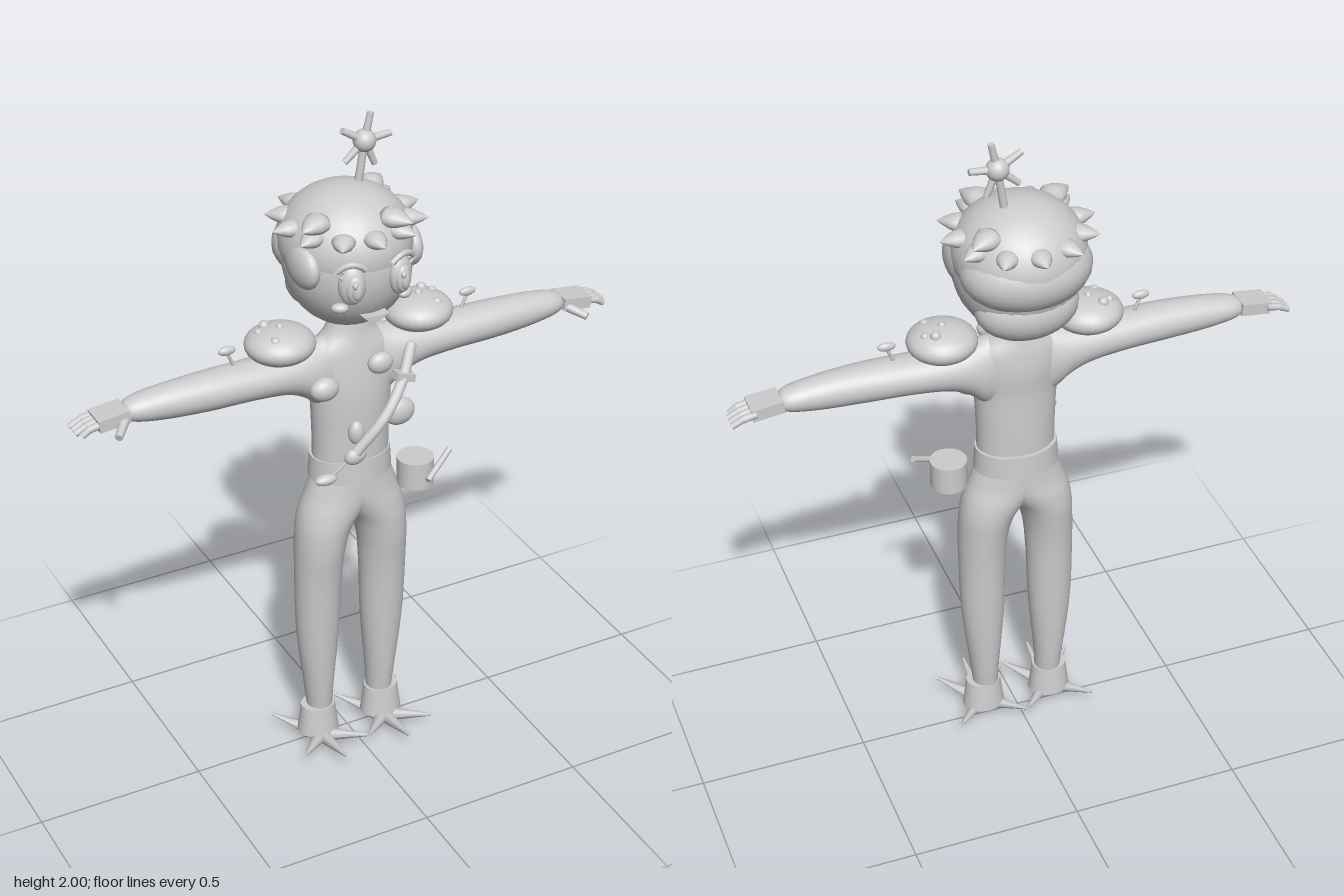
import * as THREE from 'three';

const grey = new THREE.MeshStandardMaterial({ color: 0xcccccc });
grey.name = 'light grey';
const V = (x, y, z) => new THREE.Vector3(x, y, z);
const UP = V(0, 1, 0);

export function createModel() {
  const root = new THREE.Group();
  root.name = 'forestCharacter';

  const add = (name, geo, pos = [0, 0, 0], rot = [0, 0, 0]) => {
    const m = new THREE.Mesh(geo, grey);
    m.name = name;
    m.position.set(...pos);
    m.rotation.set(...rot);
    root.add(m);
    return m;
  };
  const blob = (name, pos, r, rot) => {
    const m = add(name, new THREE.SphereGeometry(1, 28, 18), pos, rot);
    m.scale.set(...r);
    return m;
  };
  // tapered rod between two points
  const rod = (name, a, b, r0, r1 = r0, sides = 12) => {
    const p = V(...a), q = V(...b), d = q.clone().sub(p);
    const m = add(name, new THREE.CylinderGeometry(r1, r0, d.length(), sides), p.clone().add(q).multiplyScalar(0.5).toArray());
    m.quaternion.setFromUnitVectors(UP, d.normalize());
    return m;
  };
  // smooth skin through elliptical sections [t, centreA, centreB, radiusA, radiusB]
  const loft = (name, rings, place, flip = false) => {
    const N = 40, M = rings.length * 5;
    const cen = new THREE.CatmullRomCurve3(rings.map(r => V(r[0], r[1], r[2])));
    const rad = new THREE.CatmullRomCurve3(rings.map(r => V(r[0], r[3], r[4])));
    const pos = [], idx = [];
    for (let i = 0; i <= M; i++) {
      const c = cen.getPoint(i / M), r = rad.getPoint(i / M);
      for (let j = 0; j < N; j++) {
        const a = j / N * Math.PI * 2;
        pos.push(...place(c.x, c.y + r.y * Math.cos(a), c.z + r.z * Math.sin(a)));
        if (i === M) continue;
        const p = i * N + j, q = i * N + (j + 1) % N, s = p + N, t = q + N;
        if (flip) idx.push(p, q, s, q, t, s);
        else idx.push(p, s, q, q, s, t);
      }
    }
    const g = new THREE.BufferGeometry();
    g.setAttribute('position', new THREE.Float32BufferAttribute(pos, 3));
    g.setIndex(idx);
    g.computeVertexNormals();
    return add(name, g);
  };

  // torso and belt
  loft('torso', [
    [0.93, 0, 0.018, 0.118, 0.083], [1.0, 0, 0.018, 0.115, 0.083], [1.1, 0, 0.018, 0.117, 0.082],
    [1.2, 0, 0.018, 0.123, 0.08], [1.28, 0, 0.012, 0.133, 0.077], [1.34, 0, 0.01, 0.125, 0.068],
    [1.39, 0, 0.01, 0.075, 0.055], [1.45, 0, 0.01, 0.05, 0.045]], (t, a, z) => [a, t, z]);
  add('belt', new THREE.CylinderGeometry(0.121, 0.126, 0.07, 36), [0, 0.968, 0.014]).scale.z = 0.75;

  for (const s of [-1, 1]) {
    // arm, flared into the torso
    loft('arm', [
      [0.075, 1.268, 0.012, 0.115, 0.06], [0.11, 1.275, 0.012, 0.1, 0.066], [0.145, 1.288, 0.013, 0.082, 0.068],
      [0.2, 1.299, 0.014, 0.065, 0.068], [0.3, 1.305, 0.017, 0.057, 0.066], [0.45, 1.307, 0.02, 0.055, 0.06],
      [0.58, 1.307, 0.018, 0.047, 0.051], [0.655, 1.307, 0.016, 0.035, 0.041], [0.68, 1.306, 0.015, 0.024, 0.028],
      [0.687, 1.306, 0.015, 0.001, 0.001]], (t, a, z) => [s * t, a, z], s > 0);
    // leg, widening into half of the hips and just crossing the middle
    loft('leg', [
      [0.1, 0.1, 0.012, 0.036, 0.038], [0.2, 0.103, 0.012, 0.044, 0.048], [0.4, 0.106, 0.014, 0.064, 0.06],
      [0.6, 0.105, 0.018, 0.07, 0.07], [0.7, 0.1, 0.02, 0.074, 0.08], [0.775, 0.086, 0.018, 0.084, 0.086],
      [0.83, 0.056, 0.017, 0.104, 0.087], [0.88, 0.02, 0.018, 0.122, 0.085], [0.94, 0, 0.018, 0.119, 0.083]],
      (t, a, z) => [s * Math.max(a, -0.02), t, z], s < 0);

    // hand
    add('palm', new THREE.BoxGeometry(0.09, 0.036, 0.078), [s * 0.722, 1.303, 0.017], [0, 0, -s * 0.12]);
    for (let i = 0; i < 4; i++) {
      const z = -0.018 + i * 0.021;
      rod('finger', [s * 0.755, 1.302, z], [s * 0.795, 1.294, z], 0.0105);
      rod('fingertip', [s * 0.79, 1.296, z], [s * (i === 3 ? 0.815 : 0.825), 1.279, z], 0.01, 0.009);
    }
    rod('thumb', [s * 0.69, 1.297, 0.045], [s * 0.73, 1.278, 0.095], 0.014, 0.011);

    // boot with clawed toes
    add('boot', new THREE.CylinderGeometry(0.052, 0.064, 0.092, 24), [s * 0.107, 0.086, 0.014]).scale.z = 0.86;
    blob('footPad', [s * 0.105, 0.034, 0.025], [0.045, 0.03, 0.045]);
    for (const [dx, z] of [[0, 0.2], [-0.105, 0.14], [0.105, 0.14], [-0.105, -0.085], [0.105, -0.085]])
      rod('claw', [s * 0.107, 0.023, 0.035], [s * 0.107 + dx, 0.054, z], 0.023, 0.004, 8);

    // shoulder mushroom with warts
    blob('shoulderMushroom', [s * 0.215, 1.393, 0.015], [0.1, 0.052, 0.098]);
    for (const [x, y, z, r] of [[0.245, 1.437, -0.022, 0.015], [0.215, 1.443, 0.015, 0.011], [0.27, 1.43, -0.005, 0.012],
      [0.25, 1.427, 0.06, 0.014]])
      blob('wart', [s * x, y, z], [r, r, r]);
    rod('sproutStem', [s * 0.352, 1.352, 0.015], [s * 0.375, 1.408, 0.015], 0.005);
    blob('sproutCap', [s * 0.374, 1.41, 0.015], [0.026, 0.013, 0.011]);

    // face
    blob('eye', [s * 0.073, 1.605, 0.167], [0.038, 0.057, 0.024], [0, s * 0.35, 0]);
    blob('iris', [s * 0.073, 1.6, 0.185], [0.025, 0.04, 0.015], [0, s * 0.3, 0]);
    blob('pupil', [s * 0.073, 1.598, 0.197], [0.014, 0.024, 0.01], [0, s * 0.3, 0]);
    blob('eyeGlint', [s * 0.073 - 0.008, 1.62, 0.202], [0.008, 0.01, 0.007]);
    blob('cheek', [s * 0.1, 1.535, 0.148], [0.024, 0.014, 0.016], [0, s * 0.5, 0]);
    const brow = new THREE.QuadraticBezierCurve3(V(s * 0.04, 1.652, 0.182), V(s * 0.08, 1.69, 0.182), V(s * 0.115, 1.65, 0.158));
    add('brow', new THREE.TubeGeometry(brow, 12, 0.009, 8));
    for (let i = 0; i < 2; i++)
      rod('lash', [s * (0.097 + i * 0.005), 1.648 - i * 0.016, 0.165], [s * (0.118 + i * 0.004), 1.663 - i * 0.018, 0.165], 0.006, 0.001, 6);

    // side hair
    blob('sideLock', [s * 0.156, 1.63, 0.04], [0.036, 0.066, 0.082]);
  }

  // head, mouth and hair
  blob('head', [0, 1.61, 0], [0.183, 0.2, 0.178]);
  blob('hairCap', [0, 1.655, -0.012], [0.188, 0.158, 0.19]);
  blob('backHair', [0, 1.632, -0.065], [0.186, 0.115, 0.141]);
  blob('napeHair', [0, 1.515, -0.07], [0.148, 0.097, 0.102]);
  const lips = new THREE.Shape();
  lips.moveTo(-0.038, 0.008);
  lips.quadraticCurveTo(0, 0, 0.038, 0.008);
  lips.quadraticCurveTo(0, -0.034, -0.038, 0.008);
  add('mouth', new THREE.ExtrudeGeometry(lips, { depth: 0.03, bevelEnabled: false, curveSegments: 10 }), [0, 1.492, 0.14]);

  // crown of pointed petals
  const petal = new THREE.LatheGeometry([[0, 0], [0.024, 0.003], [0.033, 0.018], [0.027, 0.04], [0.014, 0.062], [0, 0.08]]
    .map(p => new THREE.Vector2(...p)), 20).rotateX(Math.PI / 2);
  const addPetal = (a, r, y, k) => {
    const m = add('crownPetal', petal, [Math.sin(a) * r, y, Math.cos(a) * r - 0.006], [0, a, 0]);
    m.scale.set(k, k * 0.75, k);
  };
  for (let i = 0; i < 12; i++) addPetal(i * Math.PI / 6, 0.143, 1.72, 1);
  for (const a of [-1.05, 0.5, 2.2]) addPetal(a, 0.118, 1.755, 1.2);

  // star-tipped antenna
  const star = V(0.065, 1.92, -0.025);
  rod('antennaStem', [0.045, 1.79, -0.025], star.toArray(), 0.012, 0.01);
  blob('antennaBall', star.toArray(), [0.032, 0.032, 0.032]);
  for (let i = 0; i < 5; i++) {
    const a = (5 + i * 72) * Math.PI / 180;
    rod('starRay', star.toArray(), [star.x + 0.08 * Math.cos(a), star.y + 0.08 * Math.sin(a), star.z], 0.012, 0.009);
  }

  // chest spots
  blob('chestSpot', [-0.115, 1.257, 0.085], [0.043, 0.035, 0.03]);
  blob('chestSpot', [0.035, 1.325, 0.13], [0.038, 0.032, 0.024]);
  blob('chestSpot', [0.095, 1.155, 0.13], [0.048, 0.042, 0.028]);

  // slung branch with leaves
  const branch = new THREE.CatmullRomCurve3([V(0.16, 1.318, 0.075), V(0.1, 1.25, 0.135), V(0.03, 1.175, 0.17), V(-0.06, 1.08, 0.165)]);
  add('branch', new THREE.TubeGeometry(branch, 20, 0.016, 12));
  blob('branchEnd', [0.16, 1.318, 0.075], [0.016, 0.016, 0.016]);
  add('branchBand', new THREE.BoxGeometry(0.06, 0.022, 0.035), [0.11, 1.262, 0.127], [0, 0, -0.3]);
  rod('twig', [-0.03, 1.1, 0.165], [-0.13, 1.0, 0.14], 0.004);
  blob('leaf', [-0.05, 1.135, 0.15], [0.024, 0.036, 0.02]);
  blob('leaf', [-0.055, 1.065, 0.155], [0.034, 0.026, 0.02], [0, 0, 0.3]);
  blob('leaf', [-0.142, 1.005, 0.145], [0.034, 0.016, 0.018]);

  // belt pot with stick
  add('pot', new THREE.CylinderGeometry(0.054, 0.054, 0.085, 28), [0.187, 0.903, 0.065]);
  rod('potStick', [0.19, 0.9, 0.135], [0.285, 0.955, 0.09], 0.009);
  return root;
}
